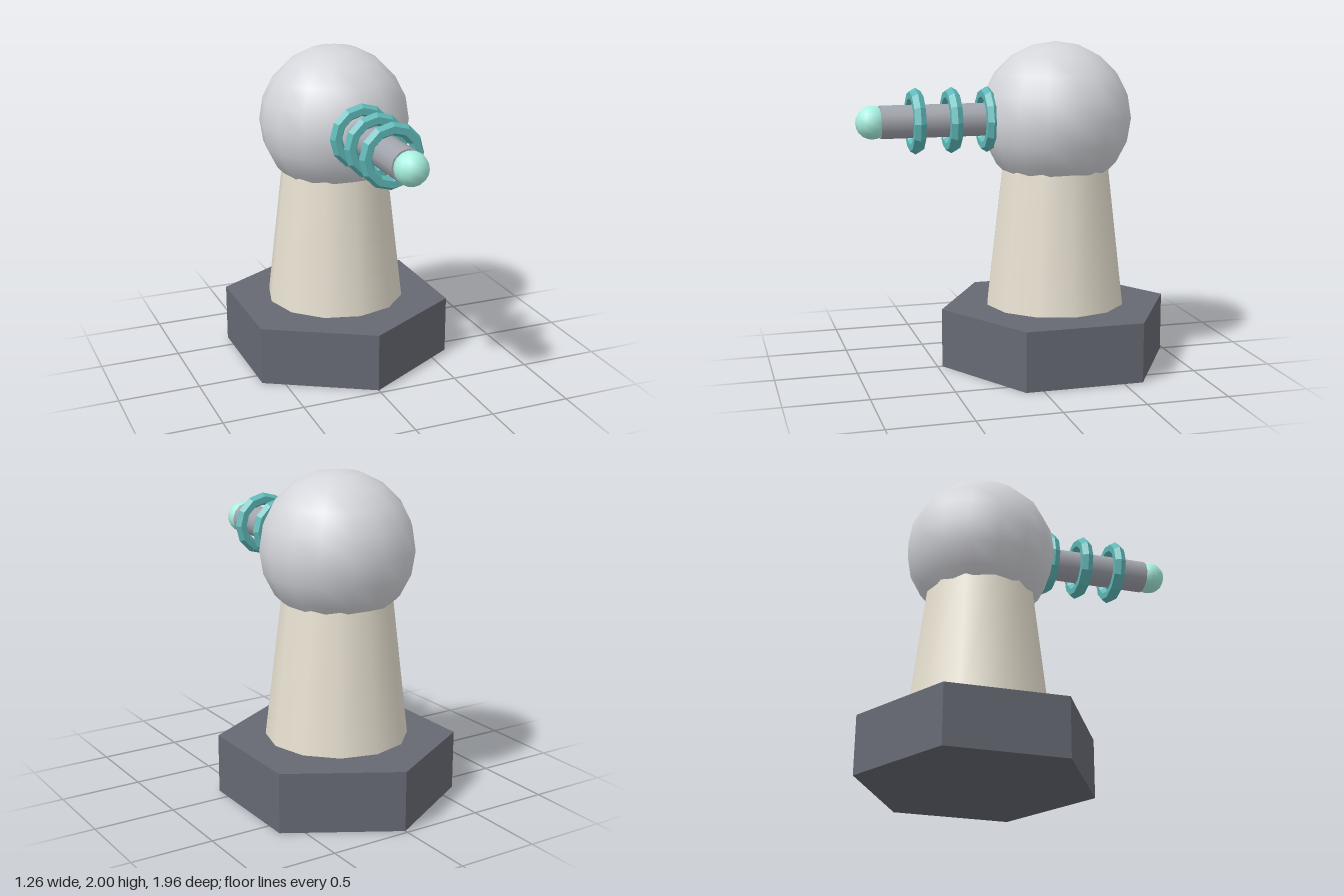
import * as THREE from 'three';

const AXIS_Z = -0.255; // vertical axis of base, tower and dome
const GUN_Y = 1.535;   // height of dome centre and barrel

export function createModel() {
  const group = new THREE.Group();

  const add = (name, geometry, color, y, z, flatShading = false) => {
    const mesh = new THREE.Mesh(geometry, new THREE.MeshStandardMaterial({ color, flatShading }));
    mesh.name = name;
    mesh.position.set(0, y, z);
    group.add(mesh);
    return mesh;
  };

  // Hexagonal plinth with corners to the front and back
  add('base', new THREE.CylinderGeometry(0.725, 0.725, 0.365, 6), 0x666973, 0.1825, AXIS_Z, true);

  // Tapered tower, a hair above the plinth
  add('tower', new THREE.CylinderGeometry(0.335, 0.435, 0.85, 12), 0xe6e0d0, 0.8, AXIS_Z);

  // Round turret head
  add('head', new THREE.SphereGeometry(0.465, 16, 10), 0xd4d5da, GUN_Y, AXIS_Z);

  // Barrel pointing forward, rooted inside the head
  const barrel = new THREE.CylinderGeometry(0.1, 0.1, 0.82, 12).rotateX(Math.PI / 2);
  add('barrel', barrel, 0xa3a5ae, GUN_Y, 0.425);

  // Three faceted coils around the barrel
  const coil = new THREE.TorusGeometry(0.16, 0.04, 6, 12);
  [0.18, 0.4, 0.62].forEach((z, i) => add(`coil${i + 1}`, coil, 0x5fb8b8, GUN_Y, z, true));

  // Glowing tip
  add('tip', new THREE.SphereGeometry(0.1, 12, 10), 0xa8f0e0, GUN_Y, 0.88);

  return group;
}
